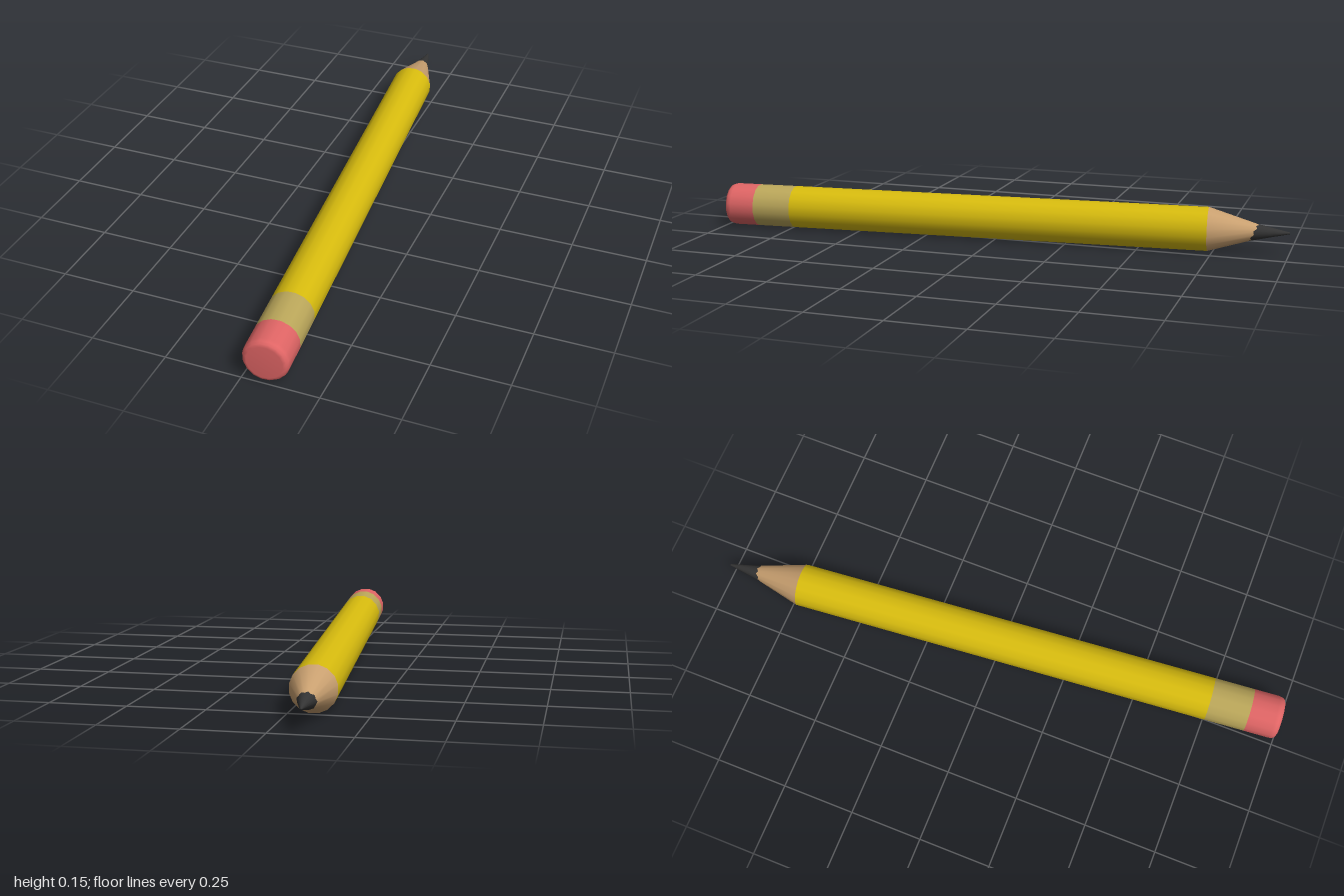
import * as THREE from 'three';

const SIDES = 16;
const RADIUS = 0.0747;

function material(name, color) {
  const m = new THREE.MeshStandardMaterial({ color });
  m.name = name;
  return m;
}

// Turned section along z; profile points are [radius, z], from back to front
function turned(name, mat, profile) {
  const points = profile.map(([r, z]) => new THREE.Vector2(r, z));
  const geometry = new THREE.LatheGeometry(points, SIDES, Math.PI / SIDES);
  geometry.rotateX(Math.PI / 2);
  const mesh = new THREE.Mesh(geometry, mat);
  mesh.name = name;
  return mesh;
}

// Slanted, slightly jagged line where the wood meets the lead
const LEAD_Z = -0.885;
const LEAD_R = 0.029;
function jagged(mesh) {
  const p = mesh.geometry.attributes.position;
  for (let i = 0; i < p.count; i++) {
    if (Math.abs(p.getZ(i) - LEAD_Z) > 1e-4) continue;
    const a = Math.atan2(p.getY(i), p.getX(i));
    const shift = -0.013 * Math.sin(a) + 0.004 * Math.sin(a * SIDES / 2);
    const r = LEAD_R + 0.28 * shift;
    p.setXYZ(i, r * Math.cos(a), r * Math.sin(a), LEAD_Z + shift);
  }
  return mesh;
}

export function createModel() {
  const yellow = material('yellow paint', 0xd8bc0e);
  const brass = material('dull brass', 0xbba75a);
  const pink = material('pink rubber', 0xe06565);
  const wood = material('bare wood', 0xc9a070);
  const graphite = material('graphite', 0x343434);

  const pencil = new THREE.Group();
  pencil.name = 'pencil';
  pencil.add(
    jagged(turned('leadTip', graphite, [[0, -1.004], [0.003, -1.003], [LEAD_R, LEAD_Z]])),
    jagged(turned('sharpenedWood', wood, [[LEAD_R, LEAD_Z], [RADIUS, -0.733]])),
    turned('barrel', yellow, [[RADIUS, -0.733], [RADIUS, 0.75]]),
    turned('ferrule', brass, [[RADIUS, 0.75], [RADIUS, 0.888]]),
    turned('eraser', pink, [
      [RADIUS, 0.888], [RADIUS, 0.975], [0.0725, 0.987], [0.067, 0.995], [0.057, 0.999], [0, 0.999],
    ]),
  );

  // Lies on the ground, turned a little off the z axis
  pencil.position.set(-0.012, RADIUS * Math.cos(Math.PI / SIDES), 0);
  pencil.rotation.y = THREE.MathUtils.degToRad(5);

  const model = new THREE.Group();
  model.name = 'pencilModel';
  model.add(pencil);
  return model;
}
